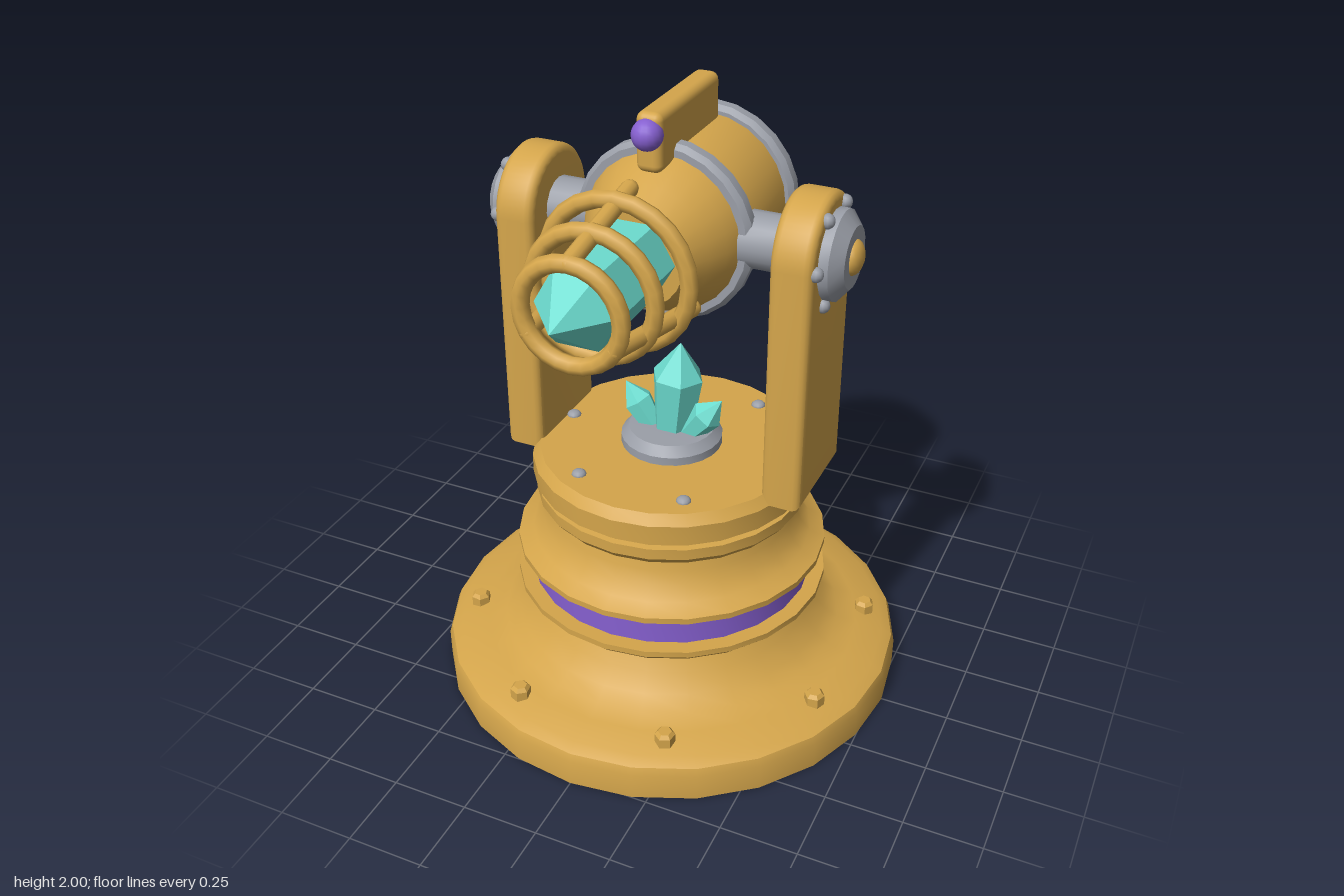
import * as THREE from 'three';
import { toCreasedNormals } from 'three/addons/utils/BufferGeometryUtils.js';
import { RoundedBoxGeometry } from 'three/addons/geometries/RoundedBoxGeometry.js';

const material = (name, color) => {
  const m = new THREE.MeshStandardMaterial({ color });
  m.name = name;
  return m;
};

export function createModel() {
  const brass = material('brass', 0xd4a54b);
  const steel = material('steel', 0x9a9ea7);
  const purple = material('purple', 0x8660d0);
  const teal = material('teal crystal', 0x6cdccf);

  const model = new THREE.Group();
  model.name = 'crystalCannon';

  const add = (parent, name, geometry, mat, x = 0, y = 0, z = 0) => {
    const mesh = new THREE.Mesh(geometry, mat);
    mesh.name = name;
    mesh.position.set(x, y, z);
    parent.add(mesh);
    return mesh;
  };
  // Turned shape from [radius, height] pairs listed bottom to top
  const turned = (pairs, sides = 24, crease = 0.5, start = 0) => toCreasedNormals(
    new THREE.LatheGeometry(pairs.map(([r, h]) => new THREE.Vector2(r, h)), sides, start), crease);
  const crystal = (r0, r, shoulder, height) =>
    turned([[0, 0], [r0, 0], [r, shoulder], [0, height]], 6, 0.1, Math.PI / 2);

  // Pedestal
  const base = new THREE.Group();
  base.name = 'pedestal';
  model.add(base);
  add(base, 'foot', turned([
    [0, 0], [0.775, 0], [0.775, 0.09], [0.765, 0.115], [0.73, 0.135], [0.64, 0.152], [0.575, 0.172],
    [0.53, 0.205], [0.485, 0.26], [0.45, 0.325], [0.495, 0.325], [0.52, 0.35], [0.52, 0.37], [0.4, 0.37]]), brass);
  add(base, 'purpleBand', turned([[0.47, 0.365], [0.47, 0.485]]), purple);
  add(base, 'column', turned([
    [0.4, 0.48], [0.515, 0.48], [0.515, 0.5], [0.465, 0.525], [0.432, 0.565], [0.415, 0.61], [0.405, 0.65],
    [0.425, 0.65], [0.445, 0.675], [0.445, 0.712], [0.425, 0.715], [0.425, 0.74],
    [0.455, 0.74], [0.455, 0.805], [0.43, 0.837], [0, 0.837]]), brass);

  // Hex bolts round the foot
  const hexBolt = turned([[0.033, -0.03], [0.033, 0.022], [0.022, 0.034], [0, 0.034]], 6, 0.1);
  for (let i = 0; i < 8; i++) {
    const a = (i + 0.5) * Math.PI / 4;
    add(base, 'footBolt', hexBolt, brass, 0.67 * Math.cos(a), 0.152, 0.67 * Math.sin(a)).rotation.y = -a;
  }
  // Studs on the deck
  const stud = new THREE.SphereGeometry(0.024, 10, 8).scale(1, 0.65, 1);
  for (let i = 0; i < 6; i++) {
    const a = i * Math.PI / 3;
    add(base, 'deckStud', stud, steel, 0.36 * Math.cos(a), 0.837, 0.36 * Math.sin(a));
  }

  // Crystal cluster on its steel seat
  const cluster = new THREE.Group();
  cluster.name = 'crystalCluster';
  model.add(cluster);
  add(cluster, 'crystalSeat', turned(
    [[0.165, 0.83], [0.165, 0.865], [0.14, 0.895], [0, 0.9]]), steel);
  add(cluster, 'tallCrystal', crystal(0.065, 0.085, 0.2, 0.32), teal, 0.005, 0.88, 0).rotation.z = -0.08;
  add(cluster, 'rightShard', crystal(0.035, 0.05, 0.11, 0.185), teal, -0.055, 0.87, 0.01).rotation.z = 0.6;
  add(cluster, 'leftShard', crystal(0.035, 0.052, 0.12, 0.2), teal, 0.055, 0.87, 0.01).rotation.z = -0.66;

  // Fork arms with pivots, one side turned round to make the other
  const armShape = new THREE.Shape();
  const armR = 0.16;
  armShape.moveTo(-armR, 0.83);
  armShape.lineTo(armR, 0.83);
  armShape.lineTo(armR, 1.6);
  armShape.absarc(0, 1.6, armR, 0, Math.PI, false);
  armShape.closePath();
  const armGeometry = toCreasedNormals(new THREE.ExtrudeGeometry(armShape, {
    depth: 0.08, bevelEnabled: true, bevelThickness: 0.025, bevelSize: 0.025, bevelSegments: 3, curveSegments: 14,
  }).rotateY(Math.PI / 2), 0.6);
  const axle = (pairs, sides) => turned(pairs, sides).rotateZ(-Math.PI / 2);
  const trunnion = axle([[0.087, 0.2], [0.087, 0.4]], 16);
  const hub = axle([[0.11, 0.5], [0.138, 0.51], [0.138, 0.54], [0.095, 0.575], [0, 0.575]], 20);
  const knob = new THREE.SphereGeometry(0.055, 14, 10).scale(0.6, 1, 1);
  const pivotStud = new THREE.SphereGeometry(0.023, 10, 8);
  for (const side of [1, -1]) {
    const arm = new THREE.Group();
    arm.name = side > 0 ? 'leftArm' : 'rightArm';
    arm.rotation.y = side > 0 ? 0 : Math.PI;
    model.add(arm);
    add(arm, 'armPlate', armGeometry, brass, 0.405, 0, 0);
    add(arm, 'trunnion', trunnion, steel, 0, 1.6, 0);
    add(arm, 'pivotHub', hub, steel, 0, 1.6, 0);
    add(arm, 'pivotKnob', knob, brass, 0.57, 1.6, 0);
    for (let i = 0; i < 6; i++) {
      const a = i * Math.PI / 3;
      add(arm, 'pivotStud', pivotStud, steel, 0.512, 1.6 + 0.153 * Math.sin(a), 0.153 * Math.cos(a));
    }
  }

  // Barrel, turned about the z axis
  const barrel = new THREE.Group();
  barrel.name = 'barrel';
  barrel.position.y = 1.6;
  model.add(barrel);
  const along = (geometry) => geometry.rotateX(Math.PI / 2);
  add(barrel, 'barrelShell', along(turned([
    [0, -0.46], [0.115, -0.46], [0.13, -0.44], [0.165, -0.437], [0.205, -0.412], [0.24, -0.375], [0.262, -0.325],
    [0.265, -0.26], [0.265, 0.03], [0.25, 0.075], [0.232, 0.125], [0.2, 0.185], [0.155, 0.265], [0, 0.265]])), brass);
  const band = (z, w, r) => along(turned([
    [0.24, z - w], [r - 0.015, z - w], [r, z - w / 2], [r, z + w / 2], [r - 0.015, z + w], [0.24, z + w]]));
  add(barrel, 'rearBand', band(-0.295, 0.033, 0.292), steel);
  add(barrel, 'frontBand', band(0.042, 0.033, 0.287), steel);

  // Diamond frame on the rear plate
  const diamond = (path, w, h) => {
    path.moveTo(0, -h);
    path.lineTo(w, 0);
    path.lineTo(0, h);
    path.lineTo(-w, 0);
    path.closePath();
    return path;
  };
  const frame = diamond(new THREE.Shape(), 0.075, 0.102);
  frame.holes.push(diamond(new THREE.Path(), 0.04, 0.055));
  add(barrel, 'rearDiamond', new THREE.ExtrudeGeometry(frame, { depth: 0.009, bevelEnabled: false }),
    purple, 0, 0, -0.468);

  // Sight rail with its bead
  add(barrel, 'sightRail', new RoundedBoxGeometry(0.082, 0.18, 0.435, 3, 0.025), brass, 0, 0.31, -0.048);
  add(barrel, 'sightBead', new THREE.SphereGeometry(0.047, 16, 12), purple, 0, 0.338, 0.168);

  // Firing crystal and its cage
  add(barrel, 'firingCrystal', along(turned(
    [[0.13, 0.25], [0.13, 0.62], [0, 0.775]], 6, 0.1, Math.PI / 2)), teal);
  for (const [z, r] of [[0.377, 0.224], [0.523, 0.189], [0.655, 0.152]]) {
    add(barrel, 'cageRing', new THREE.TorusGeometry(r, 0.027, 8, 24), brass, 0, 0, z);
  }
  const from = new THREE.Vector3(0, 0.222, 0.285);
  const to = new THREE.Vector3(0, 0.152, 0.655);
  const span = to.clone().sub(from);
  const bar = new THREE.CapsuleGeometry(0.026, span.length(), 4, 10)
    .applyQuaternion(new THREE.Quaternion().setFromUnitVectors(new THREE.Vector3(0, 1, 0), span.clone().normalize()))
    .translate(0, (from.y + to.y) / 2, (from.z + to.z) / 2);
  for (let i = 0; i < 3; i++) {
    add(barrel, 'cageBar', bar, brass).rotation.z = i * Math.PI * 2 / 3;
  }

  return model;
}
